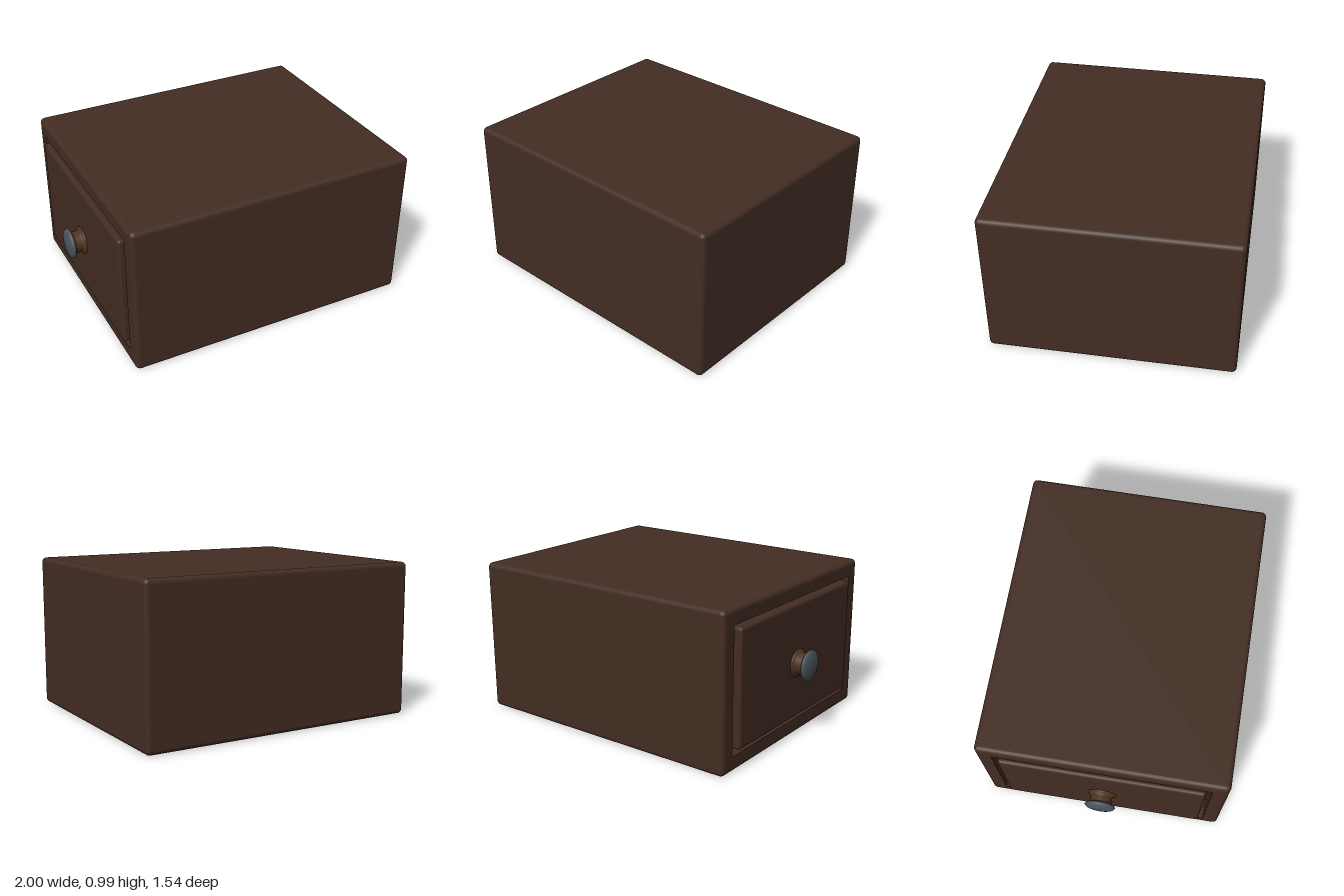
import * as THREE from 'three';
import { RoundedBoxGeometry } from 'three/addons/geometries/RoundedBoxGeometry.js';

const material = (name, color) => {
  const m = new THREE.MeshStandardMaterial({ color });
  m.name = name;
  return m;
};

const FRONT = -0.865, BACK = 1, HEIGHT = 0.99, WIDTH = 1.54, MID = HEIGHT / 2, RADIUS = 0.03;

function rectangle(PathClass, w, h) {
  const points = [[-w / 2, -h / 2], [w / 2, -h / 2], [w / 2, h / 2], [-w / 2, h / 2]];
  return new PathClass(points.map(([x, y]) => new THREE.Vector2(x, y)));
}

// Rounded shell with the flat part of its -x face removed for the drawer opening
function shellGeometry() {
  const length = BACK - FRONT;
  const source = new RoundedBoxGeometry(length, HEIGHT, WIDTH, 4, RADIUS).toNonIndexed();
  const p = source.attributes.position, n = source.attributes.normal;
  const positions = [], normals = [];
  for (let i = 0; i < p.count; i += 3) {
    if ([0, 1, 2].every(k => p.getX(i + k) < -length / 2 + 1e-5)) continue;
    for (let k = i; k < i + 3; k++) {
      positions.push(p.getX(k), p.getY(k), p.getZ(k));
      normals.push(n.getX(k), n.getY(k), n.getZ(k));
    }
  }
  const g = new THREE.BufferGeometry();
  g.setAttribute('position', new THREE.Float32BufferAttribute(positions, 3));
  g.setAttribute('normal', new THREE.Float32BufferAttribute(normals, 3));
  return g;
}

export function createModel() {
  const model = new THREE.Group();
  model.name = 'drawerCabinet';
  const wood = material('dark wood', 0x432d23);
  const turnedWood = material('reddish wood', 0x50321f);
  const metal = material('grey metal', 0x4b535c);

  const add = (name, geometry, mat, x, y, z, parent = model) => {
    const mesh = new THREE.Mesh(geometry, mat);
    mesh.name = name;
    mesh.position.set(x, y, z);
    parent.add(mesh);
    return mesh;
  };

  // Cabinet
  add('cabinetShell', shellGeometry(), wood, (FRONT + BACK) / 2, MID, 0);

  // Face frame and the walls of the drawer opening
  const frame = rectangle(THREE.Shape, WIDTH - 2 * RADIUS, HEIGHT - 2 * RADIUS);
  frame.holes.push(rectangle(THREE.Path, 1.34, 0.79));
  const frameGeometry = new THREE.ExtrudeGeometry(frame, { depth: 1.5, bevelEnabled: false });
  frameGeometry.rotateY(Math.PI / 2);
  add('openingFrame', frameGeometry, wood, FRONT, MID, 0);

  // Drawer, standing slightly proud of the frame
  add('drawer', new RoundedBoxGeometry(1.6, 0.74, 1.27, 4, 0.02), wood, -0.89 + 0.8, 0.5, 0);

  // Knob: turned stem with a flared foot, and a domed metal cap
  const knob = new THREE.Group();
  knob.name = 'knob';
  knob.position.set(-0.89, 0.487, 0);
  knob.rotation.z = Math.PI / 2;
  model.add(knob);
  const lathe = points => new THREE.LatheGeometry(points.map(([r, y]) => new THREE.Vector2(r, y)), 40);
  add('knobStem', lathe([[0.09, -0.01], [0.09, 0.004], [0.083, 0.011], [0.071, 0.016],
    [0.069, 0.03], [0.069, 0.065]]), turnedWood, 0, 0, 0, knob);
  const cap = new THREE.SphereGeometry(1, 40, 20);
  cap.scale(0.097, 0.028, 0.097);
  add('knobCap', cap, metal, 0, 0.082, 0, knob);

  return model;
}
